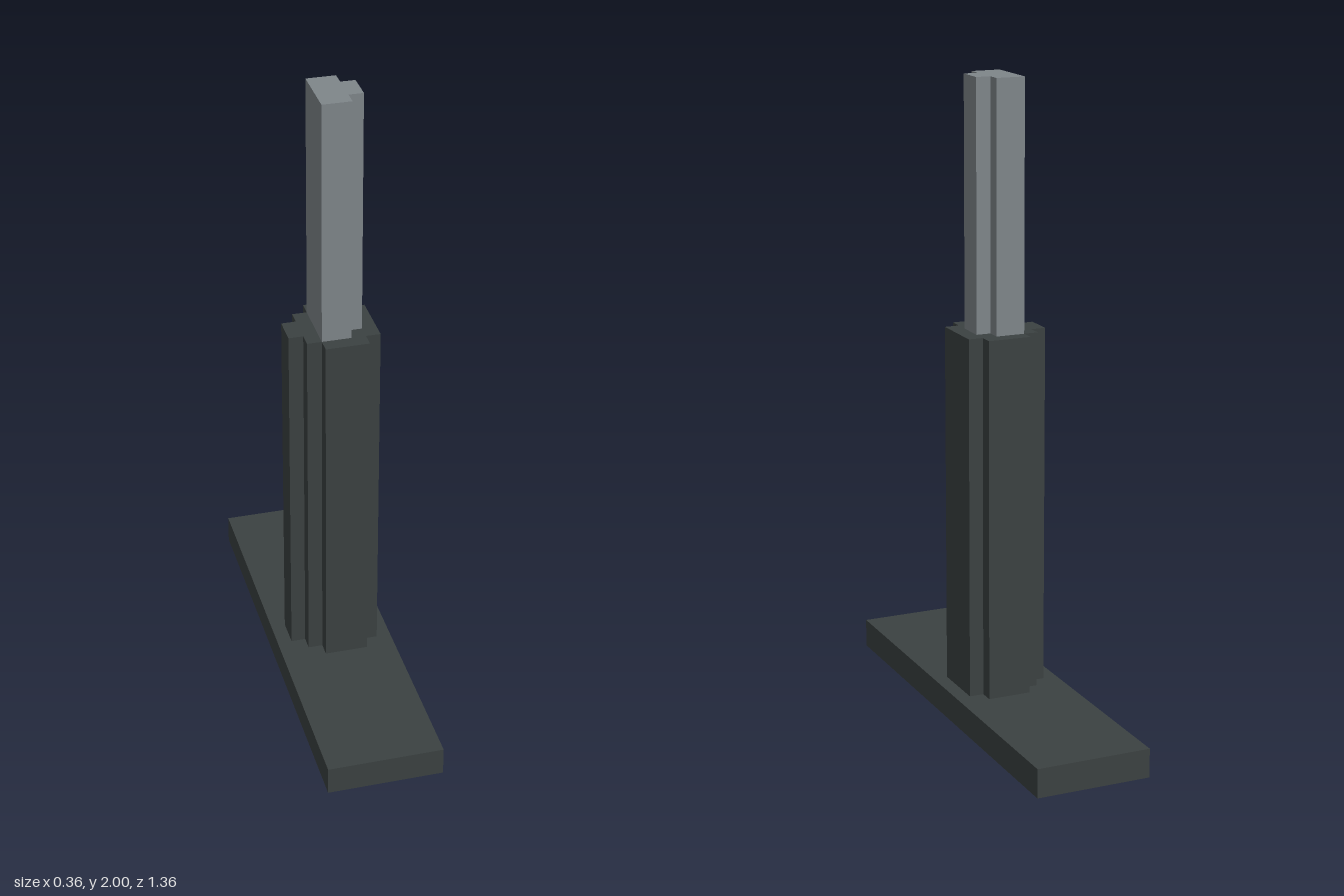
import * as THREE from 'three';

// Everything sits on a grid of 44 cells over the 2 unit height
const U = 2 / 44;

// Stepped prism: half outline [x, z] for z >= 0, mirrored across z, between two heights
function steppedPrism(name, half, y0, y1, material) {
  const outline = [...half, ...half.map(([x, z]) => [x, -z]).reverse()];
  const shape = new THREE.Shape(outline.map(([x, z]) => new THREE.Vector2(x * U, -z * U)));
  const geometry = new THREE.ExtrudeGeometry(shape, { depth: (y1 - y0) * U, bevelEnabled: false });
  geometry.rotateX(-Math.PI / 2);
  geometry.translate(0, y0 * U, 0);
  const mesh = new THREE.Mesh(geometry, material);
  mesh.name = name;
  return mesh;
}

export function createModel() {
  const darkMetal = new THREE.MeshStandardMaterial({ name: 'darkMetal', color: 0x3b4141 });
  const greyMetal = new THREE.MeshStandardMaterial({ name: 'greyMetal', color: 0x7f868a });

  const model = new THREE.Group();
  model.name = 'pedestalPost';

  // Flat foot plate
  const foot = new THREE.Mesh(new THREE.BoxGeometry(8 * U, 2 * U, 30 * U), darkMetal);
  foot.name = 'footPlate';
  foot.position.y = U;
  model.add(foot);

  // Wide lower sleeve with stepped corners
  const sleeve = [[3, 2], [2, 2], [2, 3], [-1, 3], [-1, 2], [-2, 2], [-2, 1], [-3, 1]];
  model.add(steppedPrism('sleeve', sleeve, 2, 27, darkMetal));

  // Narrow upper rod, notched on its left side
  const rod = [[2, 1], [1, 1], [1, 2], [-1, 2]];
  model.add(steppedPrism('rod', rod, 27, 44, greyMetal));

  return model;
}
